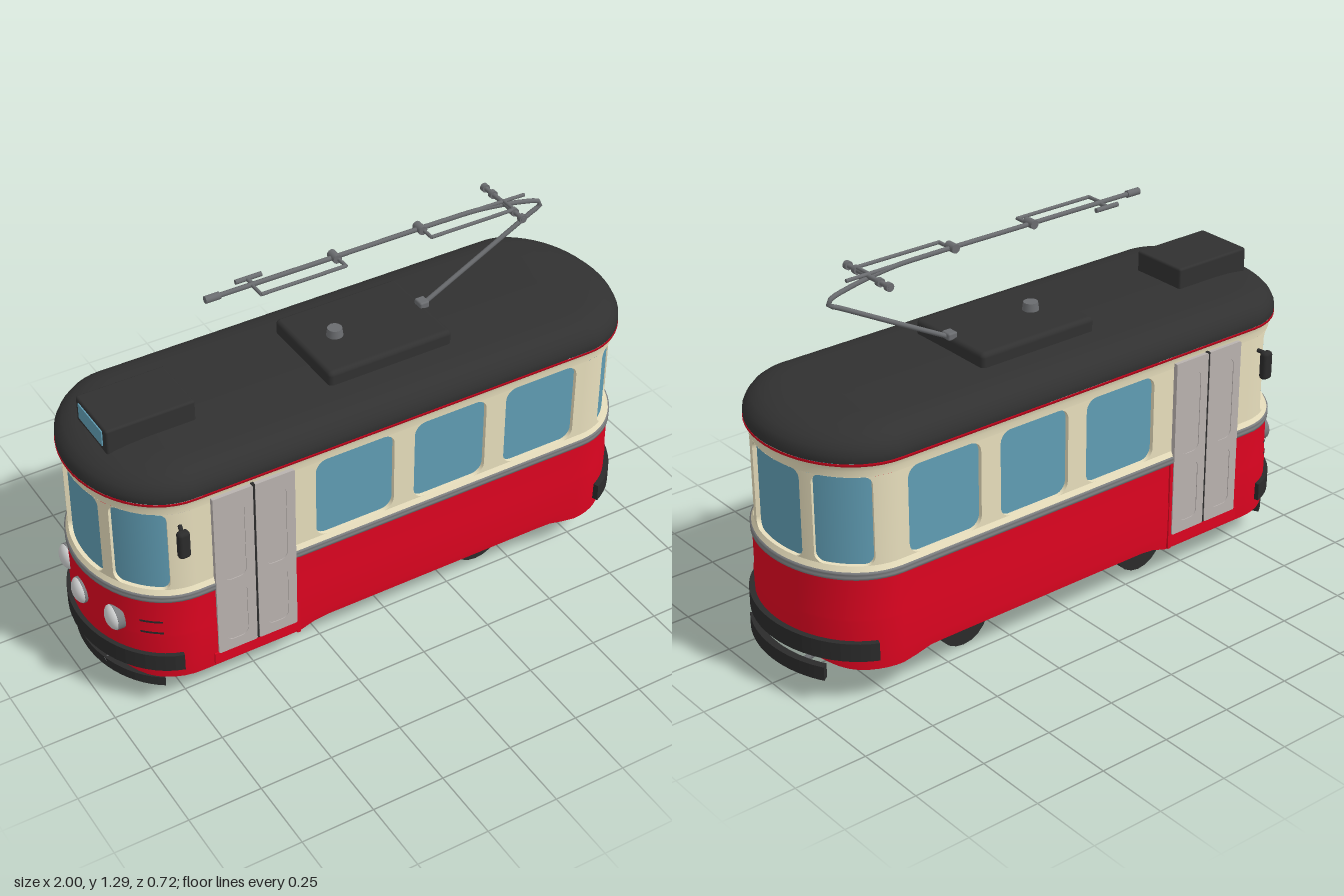
import * as THREE from 'three';
import { RoundedBoxGeometry } from 'three/addons/geometries/RoundedBoxGeometry.js';

const paint = (name, color, side = THREE.FrontSide) =>
  Object.assign(new THREE.MeshStandardMaterial({ color, side }), { name });
const step = THREE.MathUtils.smoothstep;

// Plan of the body: straight sides closed by half ellipses
const CX = 0.72, A = 0.255, B = 0.325;
const endPoint = (sign, t, off) => [sign * (CX + (A + off) * Math.cos(t)), (B + off) * Math.sin(t)];

// Window band: wall and glass offsets, bottom and top
const WALL = -0.01, GLASS = -0.024, Y0 = 0.49, Y1 = 0.79;

// Skirt edge: raised between the wheels and at the middle of both ends
const skirt = (x, z) => Math.abs(x) > CX
  ? 0.168 - 0.043 * step(Math.abs(z), 0.1, 0.28)
  : 0.125 + 0.023 * step(x, -0.37, -0.28) * (1 - step(x, 0.6, CX));

function planRing(inset, endFactor) {
  const pts = [], n = 28;
  const a = Math.max(0, A - inset * (inset > 0 ? endFactor : 1)), b = Math.max(0, B - inset);
  for (const s of [1, -1]) {
    for (let i = 0; i <= n; i++) {
      const t = (i / n - 0.5) * Math.PI;
      pts.push([s * (CX + a * Math.cos(t)), s * b * Math.sin(t)]);
    }
    for (let i = 1; i < n; i++) pts.push([s * CX * (1 - 2 * i / n), s * b]);
  }
  return pts;
}

function surface(pos, idx) {
  const g = new THREE.BufferGeometry();
  g.setAttribute('position', new THREE.Float32BufferAttribute(pos, 3));
  g.setIndex(idx);
  g.computeVertexNormals();
  return g;
}

// Skin through plan rings given as [height or height rule, inset]
function loft(profile, endFactor = 1) {
  const pos = [], idx = [], n = planRing(0, 1).length;
  for (const [y, inset] of profile)
    for (const [x, z] of planRing(inset, endFactor)) pos.push(x, typeof y === 'number' ? y : y(x, z), z);
  for (let r = 0; r < profile.length - 1; r++)
    for (let i = 0; i < n; i++) {
      const a = r * n + i, b = r * n + (i + 1) % n;
      idx.push(a, a + n, b, b, a + n, b + n);
    }
  return surface(pos, idx);
}

// Ribbon between two edges; edges(u) returns a point on each
function ribbon(edges) {
  const pos = [], idx = [], n = 32;
  for (let i = 0; i <= n; i++) {
    pos.push(...edges((1 - Math.cos(Math.PI * i / n)) / 2).flat());
    if (i < n) idx.push(2 * i, 2 * i + 1, 2 * i + 2, 2 * i + 2, 2 * i + 1, 2 * i + 3);
  }
  return surface(pos, idx);
}

// Bar curved around an end of the body
function arcBar(sign, tMax, y0, y1, in0, out0) {
  const arc = off => Array.from({ length: 25 }, (_, i) => new THREE.Vector2(...endPoint(sign, tMax * (i / 12 - 1), off)));
  return new THREE.ExtrudeGeometry(new THREE.Shape([...arc(out0), ...arc(in0).reverse()]), { depth: y1 - y0, bevelEnabled: false })
    .rotateX(-Math.PI / 2).translate(0, y0, 0);
}

function roundRect(P, x0, y0, w, h, r) {
  const p = new P();
  [[w - r, r], [w - r, h - r], [r, h - r], [r, r]].forEach(([x, y], i) =>
    p.absarc(x0 + x, y0 + y, r, (i - 1) * Math.PI / 2, i * Math.PI / 2));
  p.closePath();
  return p;
}

export function createModel() {
  const root = new THREE.Group();
  root.name = 'tram';
  const red = paint('red', 0xdd0420, THREE.DoubleSide), cream = paint('cream', 0xe8dfbd, THREE.DoubleSide);
  const roofGrey = paint('roof grey', 0x313131), black = paint('rubber black', 0x2b2b2b, THREE.DoubleSide);
  const glass = paint('window blue', 0x609db4, THREE.DoubleSide), doorGrey = paint('door grey', 0xb9b2af);
  const steel = paint('steel', 0x6a6c6f), trim = paint('trim grey', 0x7c7e80), lamp = paint('lamp', 0xd2d4d4);

  const add = (name, geo, mat, x = 0, y = 0, z = 0) => {
    const m = new THREE.Mesh(geo, mat);
    m.name = name;
    m.position.set(x, y, z);
    root.add(m);
    return m;
  };
  const box = (name, mat, w, h, d, x, y, z) => add(name, new THREE.BoxGeometry(w, h, d), mat, x, y, z);
  const rod = (name, mat, a, b, r) => {
    const p = new THREE.Vector3(...a), q = new THREE.Vector3(...b), dir = q.clone().sub(p);
    const m = add(name, new THREE.CylinderGeometry(r, r, dir.length(), 20), mat);
    m.position.copy(p).lerp(q, 0.5);
    m.quaternion.setFromUnitVectors(new THREE.Vector3(0, 1, 0), dir.normalize());
  };

  // Body shell
  add('lowerBody', loft([[skirt, 0.006], [0.18, 0.002], [0.30, 0], [0.306, 0.003], [0.45, 0.003]]), red);
  add('floor', loft([[0.17, B], [0.17, 0.004]]), red);
  add('beltTrim', loft([[0.446, 0.004], [0.448, -0.003], [0.456, -0.003], [0.46, 0], [0.464, -0.003], [0.471, -0.003], [0.474, 0.004]]), trim);
  add('windowSill', loft([[0.47, 0], [0.48, 0.005], [Y0, -WALL]]), cream);
  add('windowHeader', loft([[Y1, -WALL], [0.81, 0.009], [0.825, 0.005], [0.836, 0]]), cream);
  add('gutterLine', loft([[0.832, 0.004], [0.833, -0.006], [0.842, -0.006]]), red);
  add('roof', loft([[0.841, 0], [0.842, -0.005], [0.865, -0.004], [0.885, 0.004], [0.903, 0.016],
    [0.918, 0.035], [0.928, 0.06], [0.934, 0.09], [0.937, 0.13], [0.938, B]], 1.6), roofGrey);

  // Wall of pillars and recessed windows along a path; each window is [start, end, length]
  const windowWall = (path, from, to, windows, r) => {
    const at = (t, off, y) => [path(t, off)[0], y, path(t, off)[1]];
    let start = from;
    for (const [t0, t1, len] of [...windows, [to, to, 0]]) {
      const a = start, mid = u => t0 + (t1 - t0) * u;
      add('pillar', ribbon(u => [Y0, Y1].map(y => at(a + (t0 - a) * u, WALL, y))), cream);
      start = t1;
      if (!len) continue;
      const cut = u => r - Math.sqrt(r * r - Math.max(0, r - Math.min(u, 1 - u) * len) ** 2);
      const low = (u, off) => at(mid(u), off, Y0 + cut(u)), high = (u, off) => at(mid(u), off, Y1 - cut(u));
      add('window', ribbon(u => [low(u, GLASS), high(u, GLASS)]), glass);
      for (const [edge, y] of [[low, Y0], [high, Y1]]) {
        add('windowCorners', ribbon(u => [at(mid(u), WALL, y), edge(u, WALL)]), cream);
        add('windowReveal', ribbon(u => [edge(u, WALL), edge(u, GLASS)]), cream);
      }
      for (const t of [t0, t1])
        add('windowJamb', ribbon(u => [WALL, GLASS].map(off => at(t, off, Y0 + r + (Y1 - Y0 - 2 * r) * u))), cream);
    }
  };

  // Doors with recessed panels
  const leaf = roundRect(THREE.Shape, -0.069, 0.18, 0.138, 0.63, 0.006);
  for (const [y, h] of [[0.47, 0.29], [0.22, 0.21]]) leaf.holes.push(roundRect(THREE.Path, -0.038, y, 0.076, h, 0.025));
  const leafGeo = new THREE.ExtrudeGeometry(leaf, { depth: 0.003, bevelEnabled: false, curveSegments: 6 });

  for (const s of [1, -1]) {
    windowWall((x, off) => [x, s * (B + off)], -CX, CX, [[-0.295, -0.01, 0.285], [0.065, 0.335, 0.27], [0.41, 0.685, 0.275]], 0.04);
    windowWall((t, off) => endPoint(s, t, off), -Math.PI / 2, Math.PI / 2,
      [[-1.24, -0.55, 0.2], [-0.41, 0.41, 0.26], [0.55, 1.24, 0.2]], 0.03);
    for (const x of [-0.593, -0.447]) {
      add('doorLeaf', leafGeo, doorGrey, x, 0, s * 0.3288).rotation.y = s > 0 ? 0 : Math.PI;
      box('doorPanel', doorGrey, 0.136, 0.625, 0.02, x, 0.495, s * 0.319);
    }
    box('doorSeal', black, 0.01, 0.63, 0.02, -0.52, 0.495, s * 0.3195);
    box('doorPost', red, 0.012, 0.32, 0.02, -0.371, 0.29, s * 0.319);
    box('doorStep', red, 0.31, 0.04, 0.02, -0.52, 0.16, s * 0.318);

    // Mirrors and front vents
    add('mirror', new RoundedBoxGeometry(0.04, 0.1, 0.03, 3, 0.012), black, -0.77, 0.695, s * 0.343);
    rod('mirrorArm', black, [-0.76, 0.74, s * 0.3], [-0.775, 0.735, s * 0.35], 0.007);
    for (const y of [0.315, 0.36])
      add('ventSlit', ribbon(u => [y, y + 0.008].map(h => {
        const [x, z] = endPoint(-1, s * (0.85 + 0.27 * u), 0.001);
        return [x, h, z];
      })), black);
    for (const z of [0.1, -0.1]) rod('guardBracket', steel, [s * 0.75, 0.16, z], [s * 0.955, 0.11, z], 0.01);
  }

  // Headlights, bumpers and lower guard bars
  for (const z of [-0.165, 0, 0.165]) {
    const x = -CX - A * Math.sqrt(1 - (z / B) ** 2);
    rod('headlightRim', trim, [x + 0.02, 0.34, z], [x - 0.004, 0.34, z], 0.045);
    add('headlight', new THREE.SphereGeometry(0.044, 24, 14), lamp, x, 0.34, z).scale.x = 0.6;
  }
  add('rearBumper', arcBar(1, 1.23, 0.17, 0.232, -0.01, 0.018), black);
  add('frontBumper', arcBar(-1, 1.34, 0.17, 0.232, -0.01, 0.014), black);
  add('rearGuard', arcBar(1, 0.64, 0.09, 0.138, -0.005, 0.02), black);
  add('frontGuard', arcBar(-1, 1.1, 0.088, 0.122, -0.035, -0.005), black);

  // Roof equipment
  add('destinationBox', new RoundedBoxGeometry(0.3, 0.118, 0.21, 2, 0.008), roofGrey, -0.74, 0.949, 0);
  box('destinationGlass', glass, 0.006, 0.055, 0.16, -0.891, 0.968, 0);
  add('roofBox', new RoundedBoxGeometry(0.45, 0.07, 0.345, 3, 0.016), roofGrey, 0.065, 0.95, 0);
  add('roofKnob', new THREE.CylinderGeometry(0.024, 0.028, 0.03, 16), steel, -0.04, 0.997, 0);

  // Current collector
  const arm = new THREE.CatmullRomCurve3([[0.29, 0.985], [0.5, 1.095], [0.7, 1.2], [0.73, 1.215], [0.725, 1.23], [0.66, 1.25],
    [0.5, 1.274], [0.35, 1.278], [0, 1.278], [-0.48, 1.278]].map(([x, y]) => new THREE.Vector3(x, y, 0)), false, 'centripetal');
  add('collectorArm', new THREE.TubeGeometry(arm, 90, 0.008, 8), steel);
  add('collectorBase', new RoundedBoxGeometry(0.035, 0.025, 0.04, 2, 0.006), steel, 0.285, 0.99, 0);
  rod('collectorTip', steel, [-0.49, 1.278, 0], [-0.44, 1.278, 0], 0.012);
  rod('crossBar', steel, [0.585, 1.27, -0.115], [0.585, 1.27, 0.115], 0.008);
  for (const z of [-0.105, -0.06, 0.06, 0.105]) rod('crossClamp', steel, [0.585, 1.27, z - 0.008], [0.585, 1.27, z + 0.008], 0.014);
  rod('upperRod', steel, [0.42, 1.278, 0], [0.665, 1.275, 0], 0.006);
  for (const [x0, x1] of [[-0.33, -0.035], [0.275, 0.585]]) {
    rod('sideRod', steel, [x0, 1.278, 0.06], [x1, 1.278, 0.06], 0.006);
    for (const x of [x0, x1]) rod('sideLink', steel, [x, 1.278, 0], [x, 1.278, 0.062], 0.006);
  }
  rod('tipLink', steel, [-0.325, 1.275, -0.04], [-0.325, 1.275, 0], 0.007);
  rod('tipBar', steel, [-0.365, 1.275, -0.04], [-0.275, 1.275, -0.04], 0.008);
  for (const x of [-0.04, 0.27]) rod('armJoint', steel, [x, 1.28, -0.02], [x, 1.28, 0.02], 0.015);

  // Running gear, mirrored left and right
  for (const s of [1, -1]) {
    for (const x of [-0.35, 0.4]) {
      rod('axle', steel, [x, 0.1, 0], [x, 0.1, s * 0.17], 0.016);
      rod('wheel', black, [x, 0.1, s * 0.139], [x, 0.1, s * 0.201], 0.1);
      rod('wheelHub', red, [x, 0.1, s * 0.2], [x, 0.1, s * 0.206], 0.031);
      rod('axleBox', black, [x, 0.105, s * 0.2], [x, 0.105, s * 0.24], 0.024);
      box('springLeaf', black, 0.2, 0.014, 0.03, x, 0.145, s * 0.225);
      box('motor', red, 0.1, 0.07, 0.06, x - Math.sign(x) * 0.06, 0.135, s * 0.09);
      for (const d of [-0.13, 0.13]) {
        box('brakeShoe', steel, 0.025, 0.06, 0.04, x + d, 0.105, s * 0.17);
        rod('brakeHanger', steel, [x + d, 0.17, s * 0.17], [x + d, 0.09, s * 0.17], 0.008);
        rod('brakeBeam', steel, [x + d, 0.1, 0], [x + d, 0.1, s * 0.2], 0.012);
      }
    }
    for (const x of [-0.12, 0.02, 0.17]) rod('crossMember', steel, [x, 0.105, 0], [x, 0.105, s * 0.22], 0.011);
    rod('brakeRod', steel, [-0.62, 0.115, s * 0.07], [0.66, 0.105, s * 0.07], 0.01);
    box('railBrake', black, 0.13, 0.025, 0.04, 0.17, 0.085, s * 0.17);
    box('sandBox', black, 0.07, 0.06, 0.06, -0.58, 0.135, s * 0.17);
    box('rearBlock', black, 0.04, 0.06, 0.05, 0.67, 0.125, s * 0.22);
    rod('sandPipe', steel, [-0.58, 0.11, s * 0.17], [-0.47, 0.08, s * 0.17], 0.009);
  }
  box('airTank', steel, 0.14, 0.05, 0.1, -0.05, 0.145, 0.12);
  return root;
}
